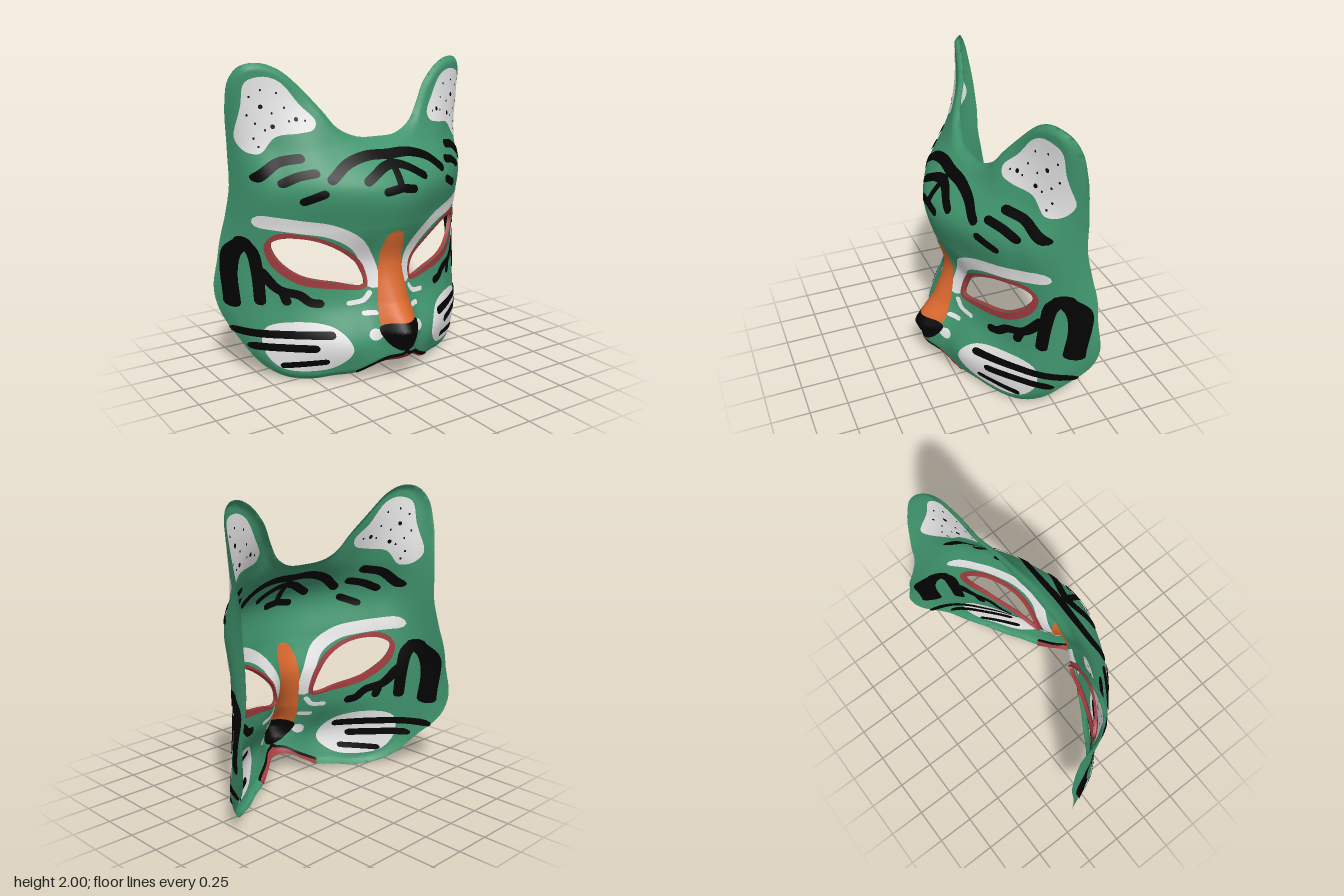
import * as THREE from 'three';

const flat = (name, color) => new THREE.MeshStandardMaterial({ name, color, side: THREE.DoubleSide });
const green = flat('green', 0x40956e), white = flat('white', 0xebebeb), black = flat('black', 0x030303);
const red = flat('red', 0xa03c3e), orange = flat('orange', 0xdb692e);

// Face relief: depth on a half grid, columns every 0.16 in x, rows every 0.25 in y
const RELIEF = [
  [0.30, 0.26, 0.18, 0.09, -0.01, -0.17, -0.36],
  [0.30, 0.28, 0.24, 0.14, 0.01, -0.15, -0.42],
  [0.20, 0.18, 0.13, 0.06, -0.03, -0.17, -0.42],
  [0.17, 0.15, 0.12, 0.06, -0.03, -0.19, -0.43],
  [0.285, 0.255, 0.19, 0.11, 0.00, -0.18, -0.56],
  [0.315, 0.295, 0.24, 0.16, 0.04, -0.15, -0.72],
  [0.095, 0.095, 0.08, 0.04, -0.06, -0.19, -0.47],
  [-0.10, -0.08, -0.01, -0.05, -0.10, -0.18, -0.33],
  [-0.07, -0.07, -0.07, -0.08, -0.11, -0.16, -0.27],
];
// Nose ridge: height of the bump along y
const NOSE = [[0, 0], [0.14, 0.06], [0.24, 0.09], [0.33, 0.16], [0.41, 0.14], [0.5, 0.1], [0.7, 0.055], [0.95, 0]];
// Half outline of the mask
const OUTLINE = [[0, 1.53], [0.15, 1.54], [0.27, 1.6], [0.35, 1.7], [0.47, 1.85], [0.6, 1.96], [0.72, 2], [0.82, 1.98],
  [0.87, 1.9], [0.88, 1.75], [0.86, 1.5], [0.848, 1.25], [0.865, 1.05], [0.91, 0.8], [0.942, 0.58], [0.92, 0.42],
  [0.855, 0.26], [0.775, 0.12], [0.66, 0.03], [0.5, 0.005], [0.38, 0.025], [0.26, 0.04], [0.18, 0.08], [0.1, 0.125], [0, 0.135]];

// Closed smooth loop, symmetric loop and mirrored path
const smooth = (pts, closed, n) => new THREE.CatmullRomCurve3(
  pts.map(([x, y]) => new THREE.Vector3(x, y, 0)), closed, 'centripetal').getPoints(n).map((p) => new THREE.Vector2(p.x, p.y));
const loop = (pts, n = 60) => smooth(pts, true, n).slice(0, -1);
const symmetric = (pts) => pts.concat(pts.filter((p) => p[0] > 0).reverse().map(([x, y]) => [-x, y]));
const mirror = (pts, s) => pts.map(([x, y]) => [s * x, y]);
const outline = loop(symmetric(OUTLINE), 200);

function cubic(p, t) {
  const [a, b, c, d] = p;
  return b + 0.5 * t * (c - a + t * (2 * a - 5 * b + 4 * c - d + t * (3 * (b - c) + d - a)));
}
function sample(get, f, last) {
  const i = Math.min(Math.max(Math.floor(f), 0), last - 1);
  return cubic([-1, 0, 1, 2].map((k) => get(Math.min(i + k, last))), f - i);
}
function noseHeight(y) {
  for (let i = 1; i < NOSE.length; i++) {
    const [y0, h0] = NOSE[i - 1], [y1, h1] = NOSE[i];
    if (y >= y0 && y <= y1) return h0 + (h1 - h0) * (y - y0) / (y1 - y0);
  }
  return 0;
}
// Rim rolls back within a narrow band along the outline
const ROLL = 0.045;
function roll(x, y) {
  let best = ROLL * ROLL;
  outline.forEach((a, i) => {
    if (Math.abs(a.x - x) > 0.1 || Math.abs(a.y - y) > 0.1) return;
    const b = outline[(i + 1) % outline.length], dx = b.x - a.x, dy = b.y - a.y;
    const t = Math.min(Math.max(((x - a.x) * dx + (y - a.y) * dy) / (dx * dx + dy * dy), 0), 1);
    best = Math.min(best, (a.x + t * dx - x) ** 2 + (a.y + t * dy - y) ** 2);
  });
  return 0.035 * (1 - Math.sqrt(best) / ROLL) ** 2;
}
function depth(x, y) {
  const ax = Math.abs(x);
  const base = sample((r) => sample((c) => RELIEF[Math.max(r, 0)][Math.abs(c)], ax / 0.16, 6), y / 0.25, 8);
  return base + noseHeight(y) * Math.exp(-Math.pow(ax / 0.125, 2.3)) - roll(x, y);
}
function normalAt(x, y) {
  const e = 0.006;
  return new THREE.Vector3((depth(x - e, y) - depth(x + e, y)) / (2 * e),
    (depth(x, y - e) - depth(x, y + e)) / (2 * e), 1).normalize();
}

// Splits a flat triangle along its longest edge until it is small enough to bend
function split(a, b, c, out) {
  const ab = a.distanceToSquared(b), bc = b.distanceToSquared(c), ca = c.distanceToSquared(a);
  const m = Math.max(ab, bc, ca);
  if (m < 0.024 * 0.024) { out.push(a, b, c); return; }
  if (m === bc) [a, b, c] = [b, c, a];
  else if (m === ca) [a, b, c] = [c, a, b];
  const mid = a.clone().add(b).multiplyScalar(0.5);
  split(a, mid, c, out);
  split(mid, b, c, out);
}

// Flat outline (with holes) laid onto the relief at each given lift
function skin(name, material, points, lifts, holes = []) {
  const shape = new THREE.Shape(points);
  shape.holes = holes.map((h) => new THREE.Path(h));
  const g = new THREE.ShapeGeometry(shape);
  const v = [], tris = [], pos = [], nor = [];
  for (let i = 0; i < g.attributes.position.count; i++) {
    v.push(new THREE.Vector2().fromBufferAttribute(g.attributes.position, i));
  }
  const id = g.index.array;
  for (let i = 0; i < id.length; i += 3) split(v[id[i]], v[id[i + 1]], v[id[i + 2]], tris);
  const bent = tris.map((p) => [p, depth(p.x, p.y), normalAt(p.x, p.y)]);
  for (const lift of lifts) {
    for (const [p, z, n] of bent) {
      pos.push(p.x + n.x * lift, p.y + n.y * lift, z + n.z * lift);
      nor.push(n.x, n.y, n.z);
    }
  }
  return build(name, material, pos, nor);
}
function build(name, material, pos, nor) {
  const geo = new THREE.BufferGeometry();
  geo.setAttribute('position', new THREE.Float32BufferAttribute(pos, 3));
  if (nor) geo.setAttribute('normal', new THREE.Float32BufferAttribute(nor, 3));
  else geo.computeVertexNormals();
  const mesh = new THREE.Mesh(geo, material);
  mesh.name = name;
  return mesh;
}

// Narrow lip folded back along a closed edge
function lip(name, material, points, width) {
  const pos = [];
  const at = (p, d) => new THREE.Vector3(p.x, p.y, depth(p.x, p.y)).addScaledVector(normalAt(p.x, p.y), -d);
  points.forEach((p, i) => {
    const q = points[(i + 1) % points.length];
    const a = at(p, 0), b = at(q, 0), c = at(q, width), d = at(p, width);
    for (const k of [a, b, c, a, c, d]) pos.push(k.x, k.y, k.z);
  });
  return build(name, material, pos);
}

// Round-ended brush stroke along a path
function stroke(pts, width) {
  const n = 6 * pts.length, line = smooth(pts, false, n), left = [], right = [], r = width / 2;
  const dir = (i) => line[Math.min(i + 1, n)].clone().sub(line[Math.max(i - 1, 0)]).angle();
  const off = (p, a) => new THREE.Vector2(p.x + r * Math.cos(a), p.y + r * Math.sin(a));
  line.forEach((p, i) => {
    left.push(off(p, dir(i) + Math.PI / 2));
    right.unshift(off(p, dir(i) - Math.PI / 2));
  });
  const cap = (p, a) => [1, 2, 3, 4].map((k) => off(p, a + Math.PI / 2 - k * Math.PI / 5));
  return [...left, ...cap(line[n], dir(n)), ...right, ...cap(line[0], dir(0) + Math.PI)];
}

const EYE = [[0.18, 0.612], [0.35, 0.638], [0.55, 0.69], [0.67, 0.79], [0.71, 0.9], [0.66, 0.94], [0.5, 0.93], [0.32, 0.84], [0.2, 0.72]];
const EYE_RIM = [[0.165, 0.593], [0.36, 0.598], [0.57, 0.645], [0.7, 0.76], [0.735, 0.9], [0.68, 0.97], [0.5, 0.955], [0.31, 0.865], [0.177, 0.735]];
const EAR = [[0.42, 1.65], [0.5, 1.75], [0.6, 1.88], [0.7, 1.92], [0.8, 1.89], [0.82, 1.75], [0.84, 1.55], [0.8, 1.47],
  [0.74, 1.46], [0.65, 1.56], [0.52, 1.58], [0.44, 1.6]];
const CHEEK = [[0.305, 0.22], [0.39, 0.11], [0.53, 0.075], [0.68, 0.1], [0.76, 0.22], [0.745, 0.36], [0.6, 0.4], [0.39, 0.36]];

// Brush strokes of one half: name, material, width, path
const STROKES = [
  ['Brow', white, 0.085, [[0.125, 0.63], [0.145, 0.74], [0.24, 0.89], [0.4, 0.985], [0.58, 1.02], [0.75, 1.045]]],
  ['NoseMark', white, 0.03, [[0.15, 0.56], [0.19, 0.515], [0.28, 0.5]]],
  ['NoseMark', white, 0.03, [[0.14, 0.44], [0.2, 0.435]]],
  ['NoseSpot', white, 0.065, [[0.16, 0.315], [0.17, 0.305]]],
  ['ForeheadStripe', black, 0.055, [[0, 1.43], [0.16, 1.43], [0.3, 1.39], [0.41, 1.31]]],
  ['ForeheadStripe', black, 0.05, [[0, 1.38], [0.08, 1.36], [0.21, 1.29]]],
  ['ForeheadStripe', black, 0.05, [[0, 1.24], [0.1, 1.225]]],
  ['TempleStripe', black, 0.055, [[0.55, 1.435], [0.66, 1.41], [0.77, 1.32]]],
  ['TempleStripe', black, 0.05, [[0.49, 1.35], [0.58, 1.33], [0.66, 1.29]]],
  ['TempleStripe', black, 0.05, [[0.46, 1.23], [0.56, 1.185]]],
  ['CheekArch', black, 0.066, [[0.875, 0.5], [0.88, 0.7], [0.86, 0.83], [0.82, 0.9]]],
  ['CheekArch', black, 0.056, [[0.825, 0.91], [0.785, 0.84], [0.765, 0.7], [0.76, 0.53]]],
  ['CheekStripe', black, 0.055, [[0.75, 0.72], [0.67, 0.61], [0.56, 0.57], [0.5, 0.52], [0.45, 0.51]]],
  ['CheekStripe', black, 0.05, [[0.65, 0.6], [0.63, 0.53]]],
  ['Whisker', black, 0.05, [[0.42, 0.32], [0.86, 0.32]]],
  ['Whisker', black, 0.05, [[0.51, 0.235], [0.8, 0.235]]],
  ['Whisker', black, 0.04, [[0.45, 0.145], [0.66, 0.115]]],
  ['MouthLine', black, 0.022, [[0, 0.22], [0.012, 0.19], [0.09, 0.167], [0.17, 0.117], [0.265, 0.068]]],
];
const DOTS = [[0.53, 1.66], [0.48, 1.65], [0.59, 1.73], [0.57, 1.65], [0.63, 1.82], [0.66, 1.7], [0.72, 1.84], [0.72, 1.74],
  [0.75, 1.64], [0.7, 1.6], [0.78, 1.8], [0.79, 1.69], [0.76, 1.55], [0.74, 1.5], [0.66, 1.62]];

export function createModel() {
  const group = new THREE.Group();
  group.name = 'catMask';
  const LOW = [0.004, -0.004], MID = [0.0055, -0.0055], TOP = [0.007, -0.007];

  // Shell with eye openings
  const eyes = [1, -1].map((s) => loop(mirror(EYE, s)));
  group.add(skin('maskShell', green, outline, [0], eyes));

  // Paired paint
  [1, -1].forEach((s, i) => {
    const side = s > 0 ? 'left' : 'right';
    const add = (name, mat, pts, lifts, holes) => group.add(skin(side + name, mat, pts, lifts, holes));
    add('EyeRim', red, loop(mirror(EYE_RIM, s)), MID, [eyes[i]]);
    group.add(lip(side + 'EyeLip', red, eyes[i], 0.025));
    add('EarInside', white, loop(mirror(EAR, s)), LOW);
    add('CheekPatch', white, loop(mirror(CHEEK, s)), LOW);
    for (const [name, mat, w, pts] of STROKES) add(name, mat, stroke(mirror(pts, s), w), mat === white ? LOW : TOP);
    DOTS.forEach(([x, y], k) => add('EarDot', black, stroke([[s * x, y], [s * x, y + 0.004]], k % 7 ? 0.011 : 0.024), TOP));
  });

  // Centre paint
  group.add(
    skin('foreheadBar', black, stroke([[0, 1.43], [0, 1.24]], 0.05), TOP),
    skin('noseBridge', orange, loop(symmetric([[0, 0.965], [0.05, 0.945], [0.08, 0.86], [0.09, 0.68], [0.115, 0.5], [0.122, 0.36], [0, 0.34]])), MID),
    skin('noseTip', black, loop(symmetric([[0, 0.385], [0.1, 0.38], [0.14, 0.35], [0.13, 0.3], [0.065, 0.225], [0, 0.205]])), TOP),
    skin('lip', red, loop(symmetric([[0, 0.185], [0.08, 0.165], [0.16, 0.12], [0.265, 0.065], [0.255, 0.043], [0.18, 0.081], [0.1, 0.126], [0, 0.136]]), 90), MID),
  );
  return group;
}
